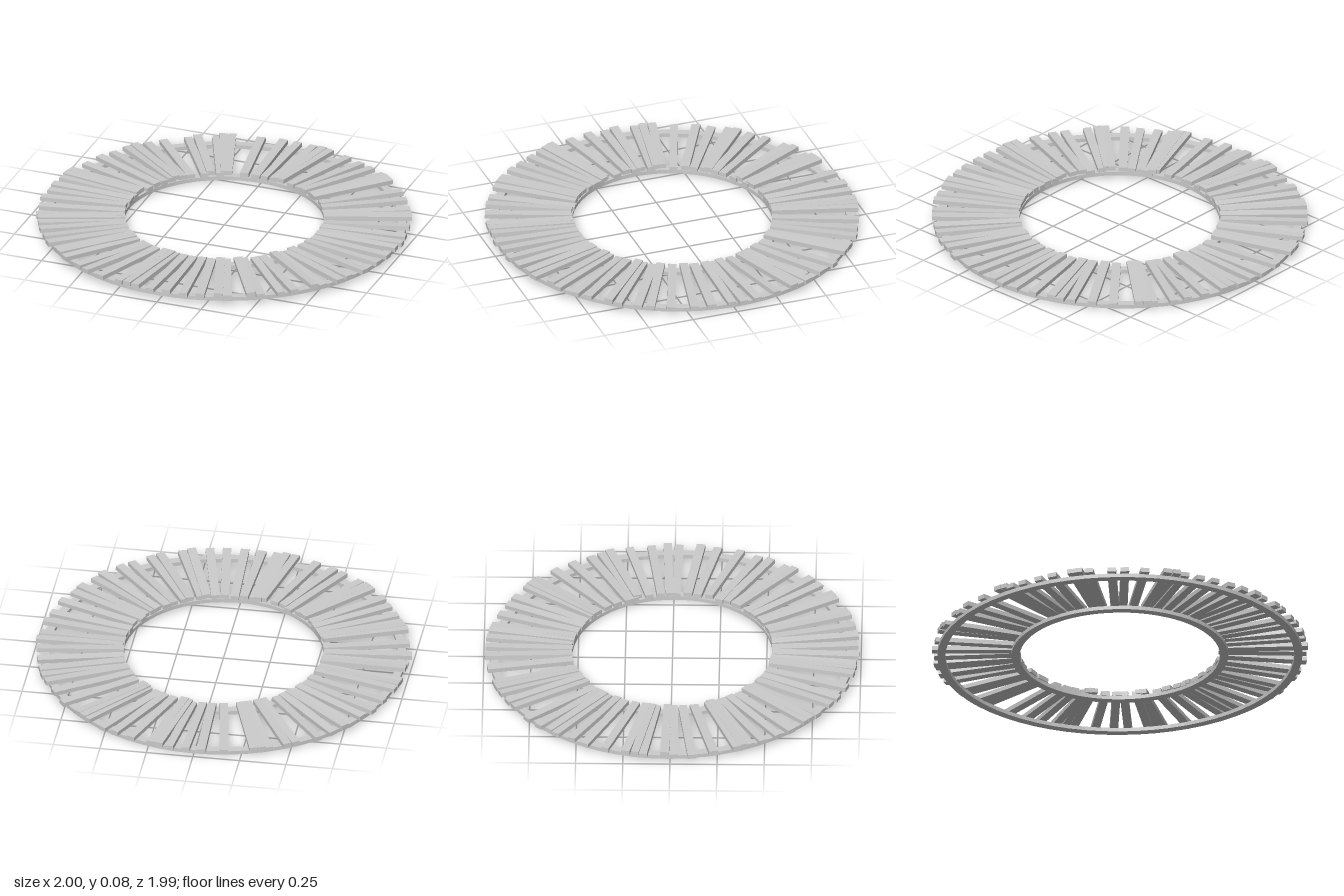
import * as THREE from 'three';

// Small seeded generator, returns -1..1
function seeded(seed) {
  let s = seed;
  return () => {
    s = (s * 16807) % 2147483647;
    return (s / 2147483647) * 2 - 1;
  };
}

// Plank bearings in degrees, clockwise from the back (-z)
const BEARINGS = [
  2.4, 7.7, 11, 13.5, 20.5, 26.5, 31, 37.7, 39.5, 42, 50, 56.5, 63.3, 67, 69.4, 76, 82.7, 87.7,
  91.4, 98, 103.5, 110.5, 117, 121, 127, 130, 137, 141.5, 148, 151, 158, 161, 166.5, 171.7, 177.3,
  182.6, 187.9, 190.6, 193.6, 200.8, 206.8, 211, 218, 221.2, 223.5, 229.7, 234.6, 240, 244.5, 247,
  249, 256.6, 263.3, 268.6, 271.7, 278.2, 280.8, 283.8, 290.6, 297.3, 302.2, 307.8, 310.5, 314.8,
  320, 327.7, 331, 336.6, 339, 341.4, 350.5, 357.4,
];

const RAIL_H = 0.021, PLANK_T = 0.024;

export function createModel() {
  const model = new THREE.Group();
  model.name = 'plankRing';
  const material = new THREE.MeshStandardMaterial({ color: 0xcccccc, flatShading: true });
  const rand = seeded(71);

  // The whole ring leans slightly, front edge raised
  const ring = new THREE.Group();
  ring.name = 'leaningRing';
  ring.rotation.x = -0.0125;
  ring.position.y = 0.0121;
  model.add(ring);

  // Two flat circular rails under the planks
  const addRail = (name, inner, outer) => {
    const profile = [[inner, 0], [outer, 0], [outer, RAIL_H], [inner, RAIL_H], [inner, 0]]
      .map(([x, y]) => new THREE.Vector2(x, y));
    const rail = new THREE.Mesh(new THREE.LatheGeometry(profile, 64), material);
    rail.name = name;
    ring.add(rail);
  };
  addRail('innerRail', 0.532, 0.575);
  addRail('outerRail', 0.925, 0.968);

  // Unevenly spaced radial planks, crowded ones riding on their neighbours
  const planks = new THREE.Group();
  planks.name = 'planks';
  ring.add(planks);
  BEARINGS.forEach((deg, i) => {
    const gap = deg - (i ? BEARINGS[i - 1] : BEARINGS.at(-1) - 360);
    const width = 0.045 + rand() * 0.003;
    const length = 0.462 + rand() * 0.004;
    const plank = new THREE.Mesh(new THREE.BoxGeometry(width, PLANK_T, length), material);
    plank.name = 'plank' + (i + 1);
    const lift = gap < 3.5 ? 0.01 : 0.002 + rand() * 0.002;
    plank.position.set(0, RAIL_H + PLANK_T / 2 - 0.002 + lift, -0.762 + rand() * 0.006);
    plank.rotation.set(rand() * 0.012, rand() * 0.012, rand() * 0.07);

    const spoke = new THREE.Group();
    spoke.name = 'spoke' + (i + 1);
    spoke.rotation.y = -THREE.MathUtils.degToRad(deg);
    spoke.add(plank);
    planks.add(spoke);
  });

  return model;
}
